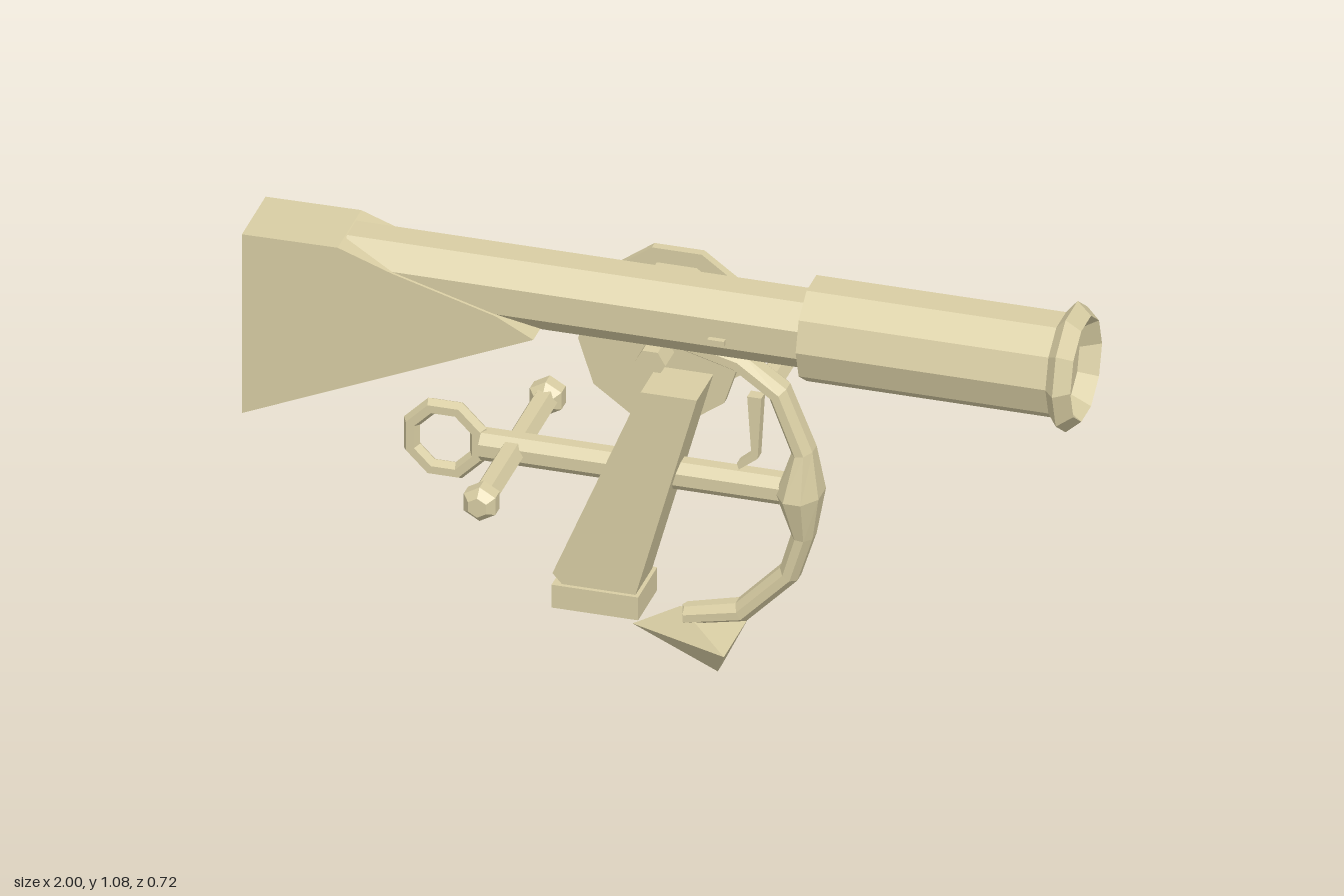
import * as THREE from 'three';
import { ConvexGeometry } from 'three/addons/geometries/ConvexGeometry.js';

const Z = 0.063; // centre plane of the launcher

export function createModel() {
  const model = new THREE.Group();
  const bone = new THREE.MeshStandardMaterial({ color: 0xd8cda3 });
  bone.name = 'paleBone';
  bone.flatShading = true;

  const add = (name, geometry, x = 0, y = 0, z = 0) => {
    const mesh = new THREE.Mesh(geometry, bone);
    mesh.name = name;
    mesh.position.set(x, y, z);
    model.add(mesh);
    return mesh;
  };

  // Faceted turned part; profile is [radius, distance along axis], ascending
  const turned = (axis, profile, sides, start = 0) => {
    const pts = profile.map(([r, d]) => new THREE.Vector2(r, d));
    const g = new THREE.LatheGeometry(pts, sides, start);
    if (axis === 'x') g.rotateZ(-Math.PI / 2);
    if (axis === 'z') g.rotateX(Math.PI / 2);
    return g;
  };
  const rod = (axis, r, from, to, sides, start) =>
    turned(axis, [[0, from], [r, from], [r, to], [0, to]], sides, start);

  // Flat outline in x and y, thickened evenly about z = 0
  const slab = (outline, depth) => {
    const shape = new THREE.Shape(outline.map(([x, y]) => new THREE.Vector2(x, y)));
    return new THREE.ExtrudeGeometry(shape, { depth, bevelEnabled: false }).translate(0, 0, -depth / 2);
  };

  // Faceted sweep through [x, y, in-plane radius, z radius]
  const sweep = (path, sides) => {
    const pos = [], index = [];
    path.forEach(([x, y, r, rz], i) => {
      const a = path[Math.max(i - 1, 0)], b = path[Math.min(i + 1, path.length - 1)];
      const t = new THREE.Vector2(b[0] - a[0], b[1] - a[1]).normalize();
      for (let j = 0; j < sides; j++) {
        const ang = ((j + 0.5) / sides) * Math.PI * 2;
        const n = Math.cos(ang) * r;
        pos.push(x - t.y * n, y + t.x * n, Math.sin(ang) * rz);
        if (i < path.length - 1) {
          const k = (j + 1) % sides, p = i * sides, q = p + sides;
          index.push(p + j, p + k, q + k, p + j, q + k, q + j);
        }
      }
    });
    const g = new THREE.BufferGeometry();
    g.setAttribute('position', new THREE.Float32BufferAttribute(pos, 3));
    g.setIndex(index);
    g.computeVertexNormals();
    return g;
  };

  // Barrel, wide forward sleeve and recessed muzzle
  add('barrel', rod('x', 0.093, -0.765, 0.36, 8, Math.PI / 8), 0, 0.93, Z);
  add('muzzleSleeve', turned('x', [
    [0, 0.34], [0.125, 0.34], [0.125, 0.94], [0.155, 0.965],
    [0.125, 1], [0.095, 0.955], [0, 0.955],
  ], 10), 0, 0.932, Z);
  add('barrelPin', new THREE.BoxGeometry(0.04, 0.014, 0.2), 0.14, 0.912, Z);

  // Shoulder stock
  add('stock', slab([
    [-1, 0.54], [-0.3, 0.846], [-0.39, 0.893], [-0.64, 0.965], [-0.77, 1.012], [-1, 1.01],
  ], 0.186), 0, 0, Z);

  // Slanted grip and its foot
  add('grip', slab([
    [-0.05, 0.735], [-0.262, 0.225], [-0.23, 0.19], [-0.065, 0.19], [0.085, 0.735],
  ], 0.13), 0, 0, 0.065);
  add('gripFoot', new THREE.BoxGeometry(0.208, 0.06, 0.15), -0.157, 0.17, 0.065);

  // Trigger
  add('trigger', slab([
    [0.19, 0.735], [0.2, 0.585], [0.165, 0.555], [0.17, 0.54], [0.215, 0.575], [0.224, 0.735],
  ], 0.03), 0, 0, Z);

  // Line reel: two flanges, drum, hub
  const rx = -0.058, ry = 0.755;
  for (const z of [-0.05, -0.192]) {
    add('reelFlange', rod('z', 0.194, -0.011, 0.011, 10, Math.PI / 2), rx, ry, z);
  }
  add('reelDrum', rod('z', 0.155, -0.185, -0.055, 10, Math.PI / 2), rx, ry, 0);
  add('reelHub', rod('z', 0.037, -0.23, 0.03, 6, Math.PI / 2), rx, ry, 0);

  // Crank arm and handle
  const dx = 0.203, dy = -0.16, len = Math.hypot(dx, dy);
  const arm = add('crankArm', new THREE.BoxGeometry(len + 0.03, 0.035, 0.022), rx + dx / 2, ry + dy / 2, -0.238);
  arm.rotation.order = 'ZYX';
  arm.rotation.set(0, 0.07, Math.atan2(dy, dx));
  add('crankHandle', rod('z', 0.031, -0.36, -0.24, 6, Math.PI / 2), 0.146, 0.594, 0);

  // Anchor shank and ring
  add('anchorShank', rod('x', 0.039, -0.45, 0.32, 8, Math.PI / 8), 0, 0.5, Z);
  add('anchorRing', new THREE.TorusGeometry(0.086, 0.021, 6, 8).rotateZ(Math.PI / 8), -0.54, 0.5, Z);

  // Cross stock with end knobs
  add('anchorCrossbar', rod('z', 0.031, -0.26, 0.26, 6, Math.PI / 2), -0.373, 0.5, Z);
  for (const side of [-1, 1]) {
    add('crossbarKnob', turned('z', [
      [0, -0.037], [0.025, -0.037], [0.044, -0.017], [0.044, 0.017], [0.025, 0.037], [0, 0.037],
    ], 6), -0.373, 0.5, Z + side * 0.26);
  }

  // Curved anchor arms, swelling where they meet the shank
  add('anchorArms', sweep([
    [0.03, 0.155, 0, 0], [0.04, 0.135, 0.024, 0.035], [0.175, 0.166, 0.027, 0.04],
    [0.29, 0.285, 0.027, 0.042], [0.322, 0.39, 0.028, 0.044], [0.314, 0.5, 0.056, 0.078],
    [0.322, 0.61, 0.028, 0.044], [0.264, 0.755, 0.027, 0.042], [0.168, 0.822, 0.027, 0.04],
    [0.04, 0.853, 0.024, 0.035], [0.03, 0.855, 0, 0],
  ], 8), 0, 0, Z);

  // Pointed fluke on the lower arm
  const fluke = [[-0.09, 0.085, 0], [0.025, 0.15, 0]];
  for (const s of [-1, 1]) fluke.push([0.16, 0.09, s * 0.1], [0.12, 0.002, s * 0.017]);
  add('anchorFluke', new ConvexGeometry(fluke.map((p) => new THREE.Vector3(...p))), 0, 0, Z);

  return model;
}
